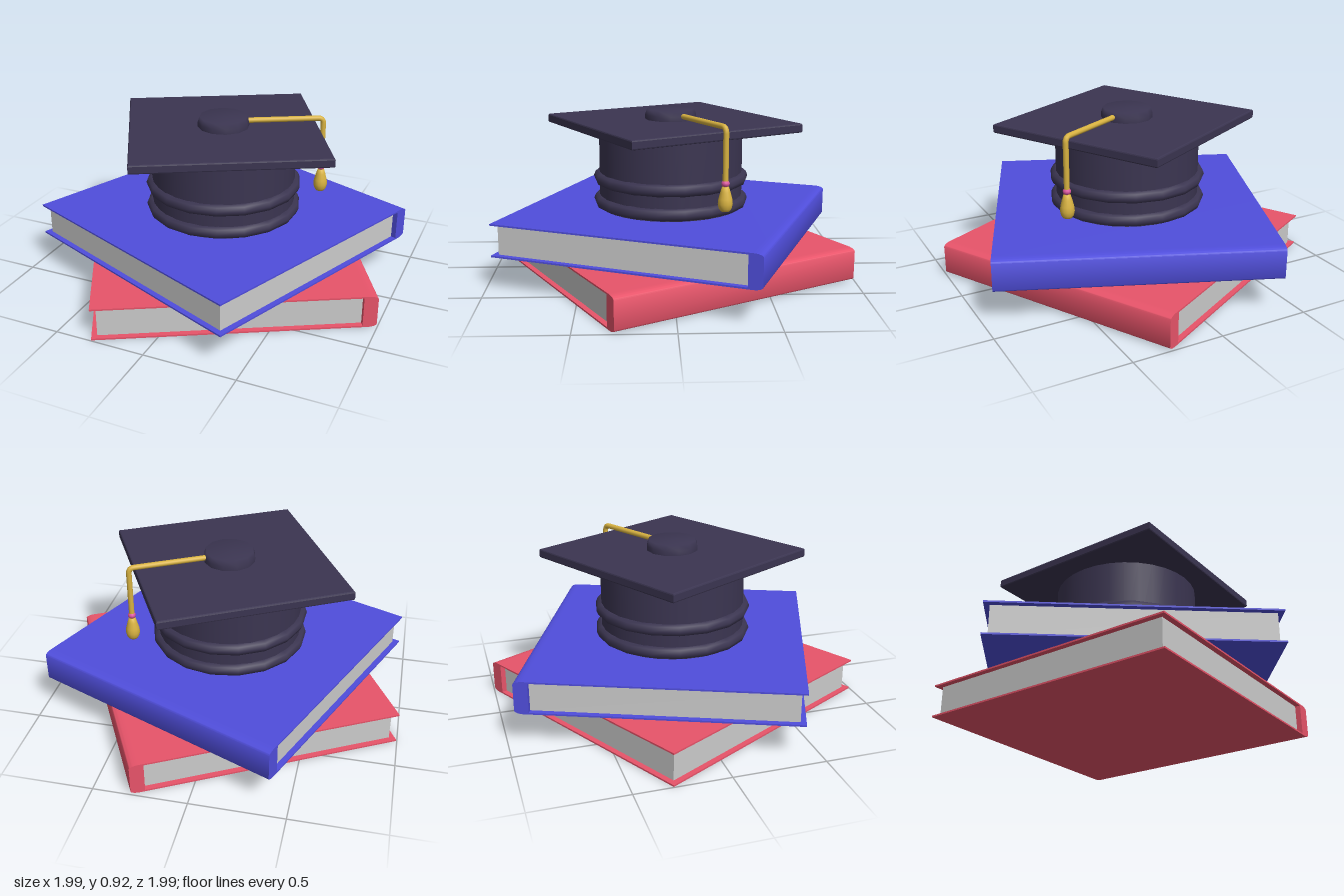
import * as THREE from 'three';
import { toCreasedNormals } from 'three/addons/utils/BufferGeometryUtils.js';

const paint = (color) => new THREE.MeshStandardMaterial({ color });
const red = paint(0xe8546a), blue = paint(0x504edc), paper = paint(0xcccccc);
const cloth = paint(0x3b3551), gold = paint(0xd9b341), pink = paint(0xd9559f);

function add(parent, name, geometry, material, x = 0, y = 0, z = 0) {
  const mesh = new THREE.Mesh(geometry, material);
  mesh.name = name;
  mesh.position.set(x, y, z);
  parent.add(mesh);
  return mesh;
}

// Hardback: thin boards joined by a solid rounded spine, with a recessed page block
function book(name, material, height, angle) {
  const group = new THREE.Group();
  group.name = name;
  const h = 0.735, inner = 0.66, board = 0.009, rx = 0.05, ry = 0.018, inset = 0.03;

  const s = new THREE.Shape();
  s.moveTo(-h, 0);
  s.lineTo(h - rx, 0);
  s.absellipse(h - rx, ry, rx, ry, -Math.PI / 2, 0, false);
  s.lineTo(h, height - ry);
  s.absellipse(h - rx, height - ry, rx, ry, 0, Math.PI / 2, false);
  s.lineTo(-h, height);
  s.lineTo(-h, height - board);
  s.lineTo(inner, height - board);
  s.lineTo(inner, board);
  s.lineTo(-h, board);
  s.closePath();
  const cover = new THREE.ExtrudeGeometry(s, { depth: 2 * h, bevelEnabled: false, curveSegments: 6 });
  cover.translate(0, 0, -h);
  add(group, name + 'Cover', toCreasedNormals(cover, 0.7), material);

  const left = -h + inset, width = inner - left;
  add(group, name + 'Pages', new THREE.BoxGeometry(width, height - 2 * board, 2 * (h - inset)),
    paper, left + width / 2, height / 2, 0);
  group.rotation.y = angle;
  return group;
}

function graduationCap() {
  const cap = new THREE.Group();
  cap.name = 'graduationCap';

  // Crown and its two rolled bands
  add(cap, 'crown', new THREE.CylinderGeometry(0.4, 0.4, 0.44, 32), cloth, 0, 0.592, 0);
  for (const [name, y] of [['lowerBand', 0.408], ['upperBand', 0.538]]) {
    const ring = new THREE.TorusGeometry(0.4, 0.034, 8, 18);
    ring.rotateX(Math.PI / 2);
    add(cap, name, ring, cloth, 0, y, 0);
  }

  // Square board with softened edges
  const half = 0.517, b = 0.008;
  const s = new THREE.Shape();
  s.moveTo(-half + b, -half + b);
  s.lineTo(half - b, -half + b);
  s.lineTo(half - b, half - b);
  s.lineTo(-half + b, half - b);
  s.closePath();
  const board = new THREE.ExtrudeGeometry(s, {
    depth: 0.05 - 2 * b, bevelThickness: b, bevelSize: b, bevelSegments: 2,
  });
  board.rotateX(-Math.PI / 2);
  add(cap, 'board', board, cloth, 0, 0.81 + b, 0);

  // Button
  const button = new THREE.LatheGeometry(
    [[0.142, 0], [0.142, 0.028], [0.132, 0.058], [0, 0.06]].map(([x, y]) => new THREE.Vector2(x, y)), 12);
  add(cap, 'button', button, cloth, 0, 0.858, 0);

  // Cord running over the board and hanging down past its edge
  const end = 0.554, top = 0.887, bend = 0.03;
  const path = new THREE.CurvePath();
  const p = (x, y) => new THREE.Vector3(x, y, 0);
  path.add(new THREE.LineCurve3(p(0.08, top), p(end - bend, top)));
  path.add(new THREE.QuadraticBezierCurve3(p(end - bend, top), p(end, top), p(end, top - bend)));
  path.add(new THREE.LineCurve3(p(end, top - bend), p(end, 0.57)));
  add(cap, 'cord', new THREE.TubeGeometry(path, 60, 0.015, 10), gold);

  // Tassel and its tie
  const tie = new THREE.SphereGeometry(0.022, 12, 8);
  tie.scale(1, 0.85, 1);
  add(cap, 'tasselTie', tie, pink, end, 0.597, 0);
  const profile = [[0, 0], [0.024, 0.003], [0.034, 0.018], [0.039, 0.042], [0.036, 0.068],
    [0.026, 0.105], [0.018, 0.13], [0, 0.135]];
  add(cap, 'tassel', new THREE.LatheGeometry(profile.map(([x, y]) => new THREE.Vector2(x, y)), 14),
    gold, end, 0.45, 0);

  cap.rotation.y = 0.495;
  return cap;
}

export function createModel() {
  const model = new THREE.Group();
  model.name = 'graduationCapOnBooks';
  const lower = book('lowerBook', red, 0.183, 0.495);
  const upper = book('upperBook', blue, 0.181, 1.18);
  upper.position.y = 0.189;
  model.add(lower, upper, graduationCap());
  return model;
}
